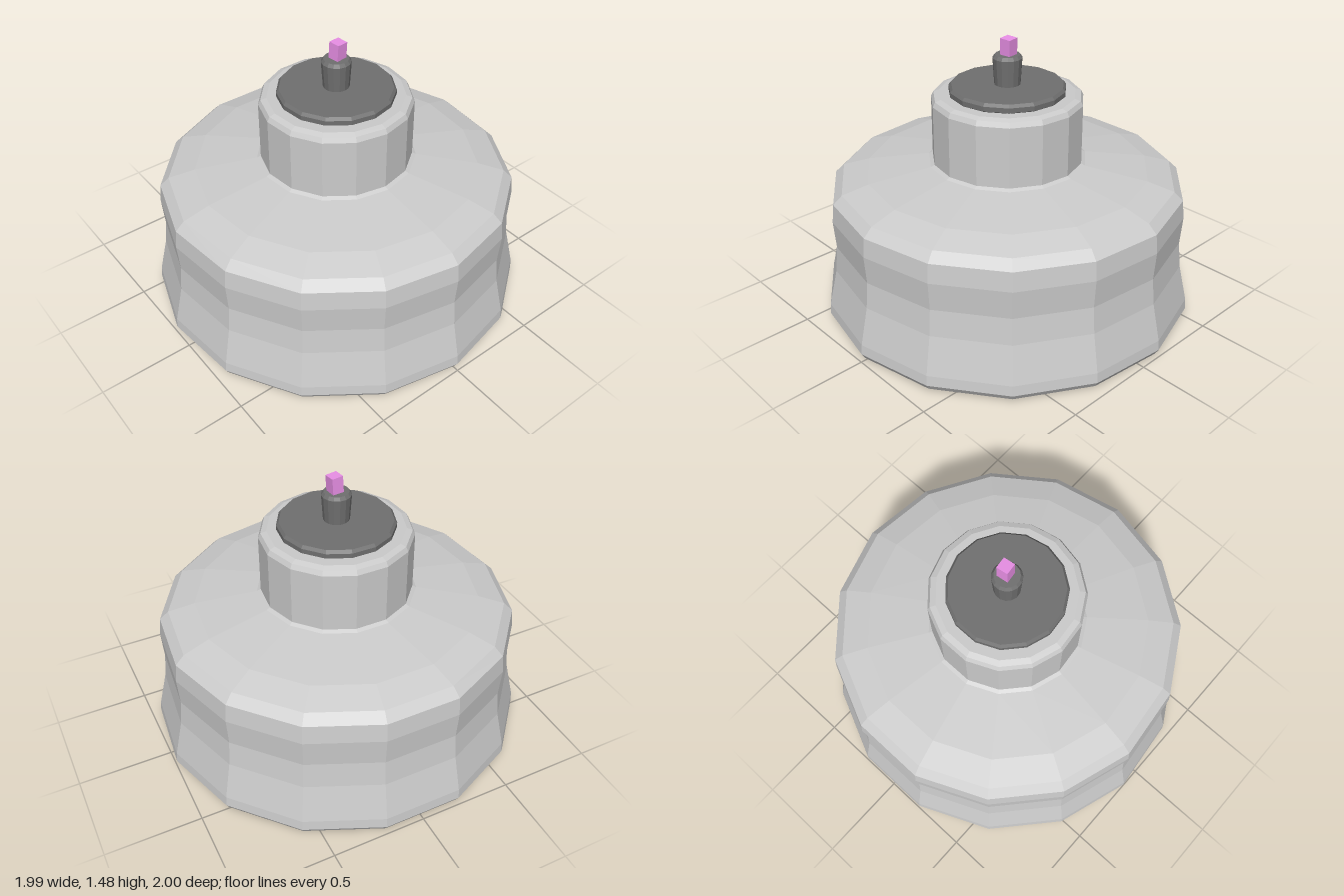
import * as THREE from 'three';

const SIDES = 15;

// Faceted turned part: profile of [radius, height], listed bottom to top
function turned(name, profile, color) {
  const points = profile.map(([r, y]) => new THREE.Vector2(r, y));
  const geometry = new THREE.LatheGeometry(points, SIDES, Math.PI / 2);
  const mesh = new THREE.Mesh(geometry, new THREE.MeshStandardMaterial({ color, flatShading: true }));
  mesh.name = name;
  return mesh;
}

export function createModel() {
  const model = new THREE.Group();
  model.name = 'bottle';

  // Waisted body, sloping shoulder and straight neck
  model.add(turned('body', [
    [0, 0], [0.95, 0], [0.985, 0.012], [1.005, 0.045], [1.0, 0.1],
    [0.953, 0.3], [0.938, 0.44], [0.948, 0.59], [0.937, 0.69],
    [0.89, 0.735], [0.75, 0.775], [0.42, 0.82], [0.4, 0.83],
    [0.398, 1.15], [0.385, 1.175], [0.355, 1.185], [0, 1.185],
  ], 0xcccccc));

  // Flat cap with bevelled rims
  model.add(turned('cap', [
    [0, 1.18], [0.29, 1.18], [0.305, 1.19], [0.305, 1.215], [0.292, 1.23], [0, 1.23],
  ], 0x707070));

  // Slightly flared stem
  model.add(turned('stem', [
    [0, 1.225], [0.068, 1.225], [0.077, 1.37], [0.065, 1.387], [0, 1.387],
  ], 0x707070));

  // Small coloured tip, slightly turned and tilted
  const tip = new THREE.Mesh(
    new THREE.BoxGeometry(0.062, 0.1, 0.062),
    new THREE.MeshStandardMaterial({ color: 0xea90e7, flatShading: true })
  );
  tip.name = 'tip';
  tip.position.set(0.001, 1.424, -0.009);
  tip.rotation.set(-0.04, 0.13, -0.03);
  model.add(tip);

  // Centre the odd-sided outline
  model.children.forEach((part) => { part.position.x -= 0.011; });
  return model;
}
